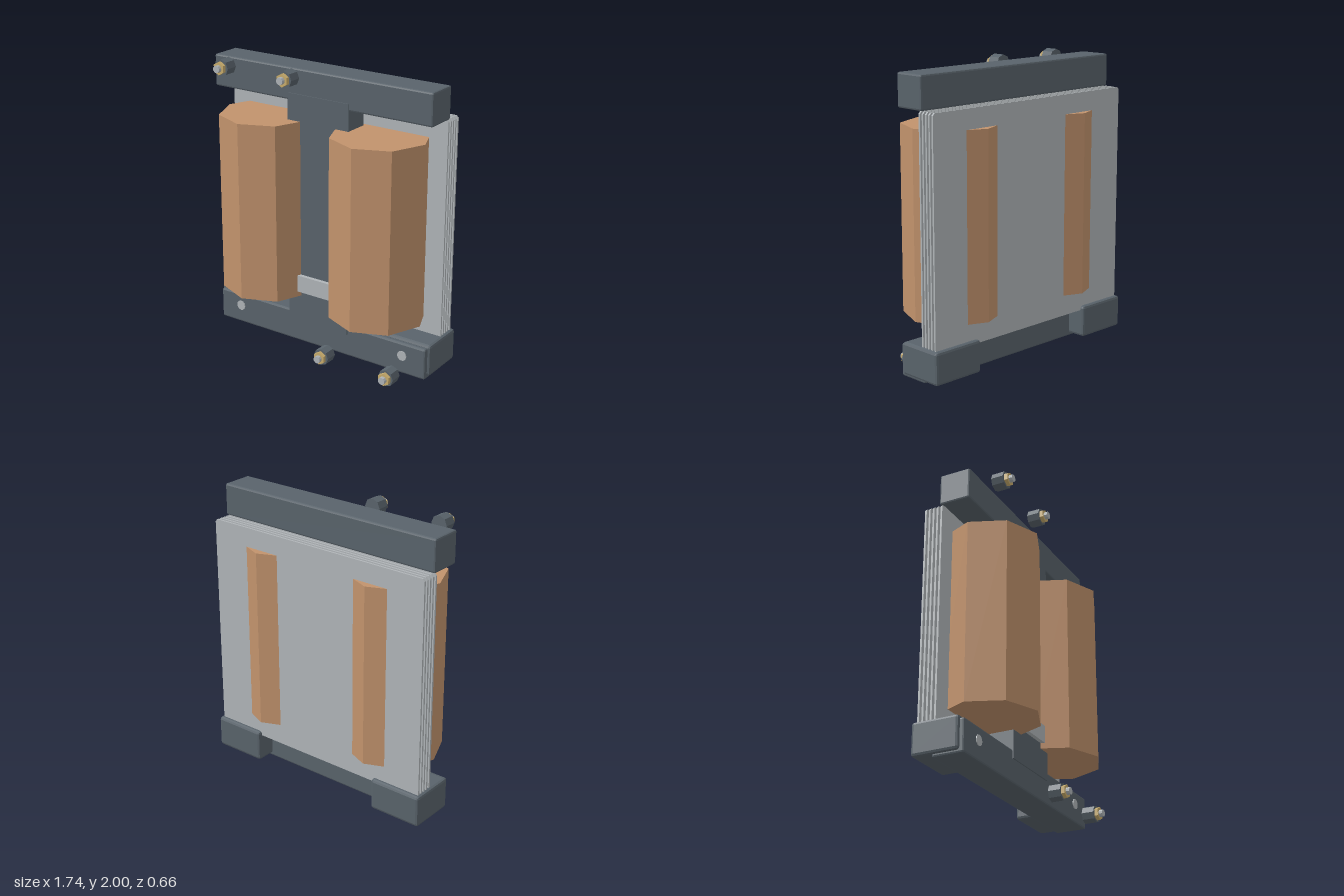
import * as THREE from 'three';
import { RoundedBoxGeometry } from 'three/addons/geometries/RoundedBoxGeometry.js';

const material = (color) => new THREE.MeshStandardMaterial({ color, flatShading: true });

export function createModel() {
  const model = new THREE.Group();
  model.name = 'twinCoilTransformer';
  const iron = material(0x59636b);
  const copper = material(0xc1926c);
  const steel = material(0xb0b5b8);
  const brass = material(0xc8ac6c);

  const add = (name, geometry, mat, x, y, z, parent = model) => {
    const mesh = new THREE.Mesh(geometry, mat);
    mesh.name = name;
    mesh.position.set(x, y, z);
    parent.add(mesh);
    return mesh;
  };
  // Box with one-step chamfered edges, given by its y and z limits
  const block = (name, mat, x, w, y0, y1, z0, z1, chamfer) =>
    add(name, new RoundedBoxGeometry(w, y1 - y0, z1 - z0, 1, chamfer), mat, x, (y0 + y1) / 2, (z0 + z1) / 2);
  // Faceted cylinder along z
  const stub = (name, mat, r, sides, x, y, z0, z1, parent) =>
    add(name, new THREE.CylinderGeometry(r, r, z1 - z0, sides).rotateX(Math.PI / 2), mat, x, y, (z0 + z1) / 2, parent);

  // Core frame: two yokes and the centre limb
  block('topYoke', iron, 0, 1.7, 1.76, 1.98, -0.17, 0.05, 0.012);
  block('bottomYoke', iron, 0, 1.7, 0.03, 0.25, -0.17, 0.05, 0.012);
  add('centreLimb', new THREE.BoxGeometry(0.48, 1.62, 0.175), iron, 0, 1, -0.03);

  // Stacked laminations at the back
  for (let i = 0; i < 5; i++) {
    const z = -0.153 - i * 0.029;
    const c = 0.015, w = 0.85, h = 0.76;
    const shape = new THREE.Shape([
      [-w + c, -h], [w - c, -h], [w, -h + c], [w, h - c],
      [w - c, h], [-w + c, h], [-w, h - c], [-w, -h + c],
    ].map(([x, y]) => new THREE.Vector2(x, y)));
    add('lamination', new THREE.ExtrudeGeometry(shape, { depth: 0.013, bevelEnabled: false }), steel, 0, 1, z - 0.0065);
  }

  // Mirrored coils, feet and front plugs
  for (const side of [-1, 1]) {
    add('coil', new THREE.CylinderGeometry(0.33, 0.33, 1.245, 8), copper, side * 0.445, 1.005, 0);
    block('foot', iron, side * 0.68, 0.38, 0.05, 0.27, -0.305, 0.02, 0.018);
    stub('frontPlug', steel, 0.035, 12, side * 0.675, 0.16, 0.03, 0.056);
  }

  // Plain rating plate on the centre limb
  add('ratingPlate', new THREE.BoxGeometry(0.34, 0.12, 0.03), steel, 0, 0.48, 0.07);

  // Terminals: insulator, brass nut and threaded stud
  for (const [x, y] of [[-0.66, 1.945], [-0.145, 1.945], [0.14, 0.06], [0.655, 0.06]]) {
    const terminal = new THREE.Group();
    terminal.name = 'terminal';
    model.add(terminal);
    stub('insulator', iron, 0.058, 8, x, y, 0.135, 0.22, terminal);
    stub('brassNut', brass, 0.045, 6, x, y, 0.22, 0.245, terminal);
    stub('stud', steel, 0.025, 10, x, y, 0.245, 0.27, terminal);
  }
  return model;
}
